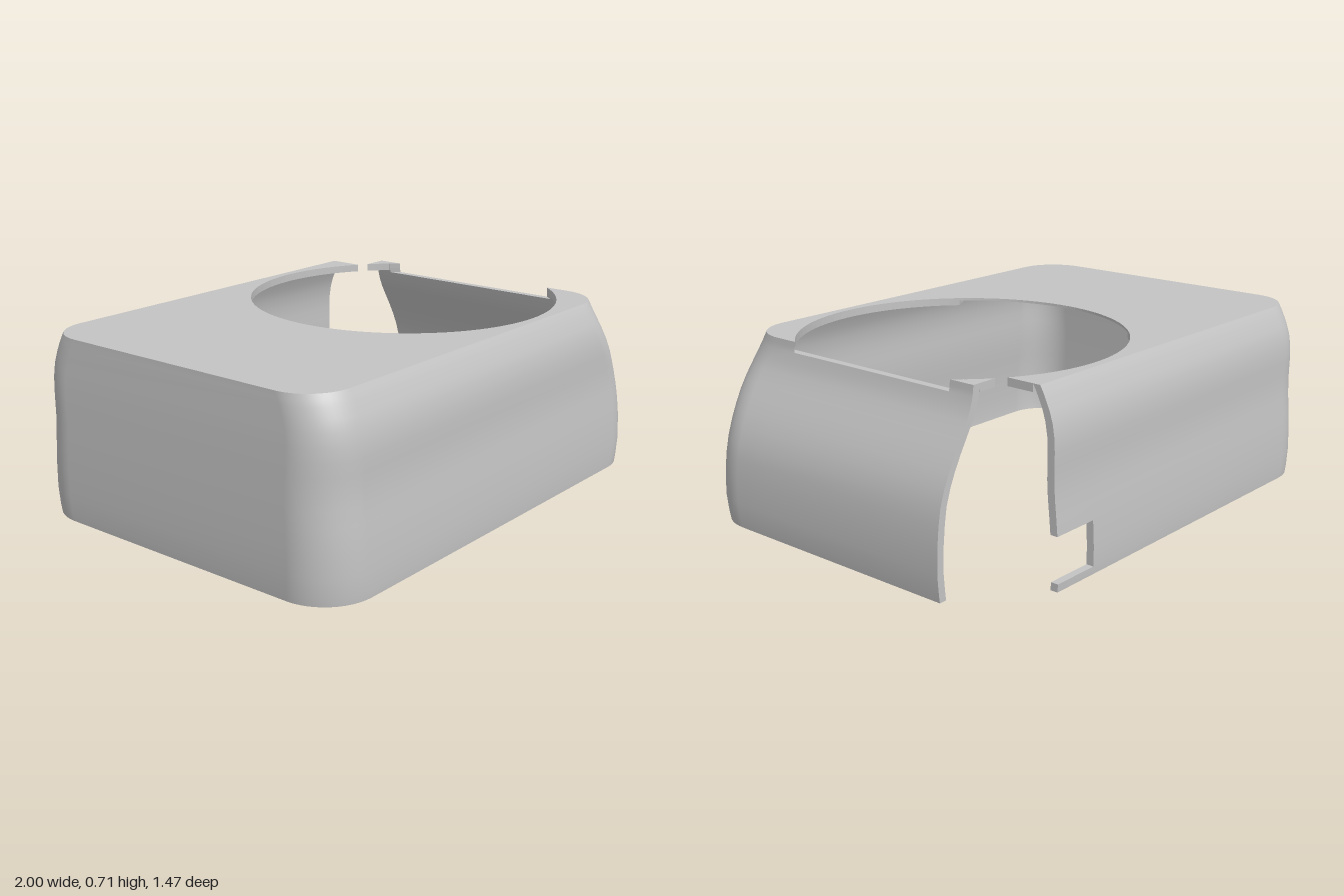
import * as THREE from 'three';

const T = 0.03;          // wall thickness
const TOP = 0.71;        // height of the top plate
const SKIN = 0.01;       // plate thickness above the round pocket
const HOLE = { x: 0.33, r: 0.62 };
const POCKET = { x: -0.42, r: 0.527 };

// Wall profile: [y, right x, left x, half depth]
const PROFILE = [
  [0, 0.99, -0.993, 0.733], [0.03, 0.994, -0.996, 0.735], [0.1, 1, -1, 0.736], [0.2, 0.997, -1, 0.731],
  [0.27, 0.99, -0.999, 0.725], [0.33, 0.98, -0.998, 0.719], [0.39, 0.96, -0.996, 0.716], [0.44, 0.937, -0.995, 0.716],
  [0.49, 0.91, -0.993, 0.717], [0.54, 0.88, -0.991, 0.715], [0.59, 0.85, -0.988, 0.707], [0.63, 0.832, -0.985, 0.694],
  [0.67, 0.82, -0.983, 0.676], [0.69, 0.817, -0.981, 0.666], [TOP, 0.815, -0.98, 0.654],
];

// Open rounded outline at one height, from the right wall round the front to the back wall
function outline([y, xr, xl, zh], inset) {
  const r = 0.2 - 0.03 * y / TOP, N = 12, pts = [];
  const slot = inset ? 0.42 : 0.386; // the slot ends follow the round opening
  for (const z of [-0.49, -slot, slot]) pts.push([xr - inset, z]);
  const corners = [[xr - r, zh - r], [xl + r, zh - r], [xl + r, -zh + r]];
  corners.forEach(([cx, cz], k) => {
    for (let i = 0; i <= N; i++) {
      const a = (k + i / N) * Math.PI / 2;
      pts.push([cx + (r - inset) * Math.cos(a), cz + (r - inset) * Math.sin(a)]);
    }
  });
  for (const x of [0.48, 0.675]) pts.push([x, -zh + inset]);
  return pts.map(([x, z]) => [x, y, z]);
}

function geometry(positions, index) {
  const g = new THREE.BufferGeometry();
  g.setAttribute('position', new THREE.Float32BufferAttribute(positions.flat(), 3));
  if (index) g.setIndex(index);
  g.computeVertexNormals();
  return g;
}

export function createModel() {
  const group = new THREE.Group();
  const grey = new THREE.MeshStandardMaterial({ color: 0xc4c4c4, side: THREE.DoubleSide });
  grey.name = 'light grey plastic';
  const add = (geo, name) => {
    const m = new THREE.Mesh(geo, grey);
    m.name = name;
    group.add(m);
  };

  // Wall grid, with the slot above the right wall and the notch in the back wall left open
  const outer = PROFILE.map(p => outline(p, 0));
  const inner = PROFILE.map(p => outline(p, T));
  const rows = PROFILE.length - 1, cols = outer[0].length - 1;
  const filled = (i, j) => {
    if (i < 0 || j < 0 || i >= cols || j >= rows) return false;
    const y = PROFILE[j][0];
    if (i === 1 && y >= 0.67) return false;
    return !(i === cols - 1 && y >= 0.03 && y < 0.2);
  };
  const outIdx = [], inIdx = [], edge = [];
  const rim = (i0, j0, i1, j1) => {
    const a = outer[j0][i0], b = outer[j1][i1], c = inner[j1][i1], d = inner[j0][i0];
    edge.push(a, b, c, a, c, d);
  };
  for (let j = 0; j < rows; j++) for (let i = 0; i < cols; i++) {
    if (!filled(i, j)) continue;
    const a = j * (cols + 1) + i, b = a + 1, c = a + cols + 1, d = c + 1;
    outIdx.push(a, c, b, b, c, d);
    inIdx.push(a, b, c, b, d, c);
    if (!filled(i, j - 1)) rim(i, j, i + 1, j);
    if (!filled(i, j + 1)) rim(i + 1, j + 1, i, j + 1);
    if (!filled(i - 1, j)) rim(i, j + 1, i, j);
    if (!filled(i + 1, j)) rim(i + 1, j, i + 1, j + 1);
  }
  add(geometry(outer.flat(), outIdx), 'outerWall');
  add(geometry(inner.flat(), inIdx), 'innerWall');
  add(geometry(edge), 'wallEdges');

  // Flat plates bounded by the wall and the round opening
  const plate = (pts, name, y, depth) => {
    const shape = new THREE.Shape(pts.map(([x, z]) => new THREE.Vector2(x, z)));
    const g = new THREE.ExtrudeGeometry(shape, { depth, bevelEnabled: false });
    g.rotateX(Math.PI / 2).translate(0, y, 0);
    add(g, name);
  };
  const arc = (c, a0, a1, n) => Array.from({ length: n + 1 }, (_, i) => {
    const a = a0 + (a1 - a0) * i / n;
    return [c.x + c.r * Math.cos(a), c.r * Math.sin(a)];
  });
  const border = inner[rows].map(([x, , z]) => [x, z]);
  const chord = Math.acos((border[0][0] - HOLE.x) / HOLE.r);
  const start = 2 * Math.PI - Math.acos((0.675 - HOLE.x) / HOLE.r);
  plate([...border.slice(3), ...arc(HOLE, start, chord, 72)], 'topPlate', TOP, SKIN);

  // Lower layer of the plate, opened by a shallow round pocket that meets the opening
  const d = HOLE.x - POCKET.x;
  const reach = (d * d + HOLE.r ** 2 - POCKET.r ** 2) / (2 * d);
  const h = Math.acos(reach / HOLE.r), p = Math.acos((d - reach) / POCKET.r);
  plate([
    ...border.slice(3),
    ...arc(HOLE, start, Math.PI + h, 24),
    ...arc(POCKET, 2 * Math.PI - p, p, 56).slice(1, -1),
    ...arc(HOLE, Math.PI - h, chord, 24),
  ], 'pocketLayer', TOP - SKIN, T - SKIN);

  // Small corner of the plate left on the right wall
  plate([border[0], ...arc(HOLE, -chord, -Math.asin(0.49 / HOLE.r), 6)], 'topCorner', TOP, T);
  return group;
}
